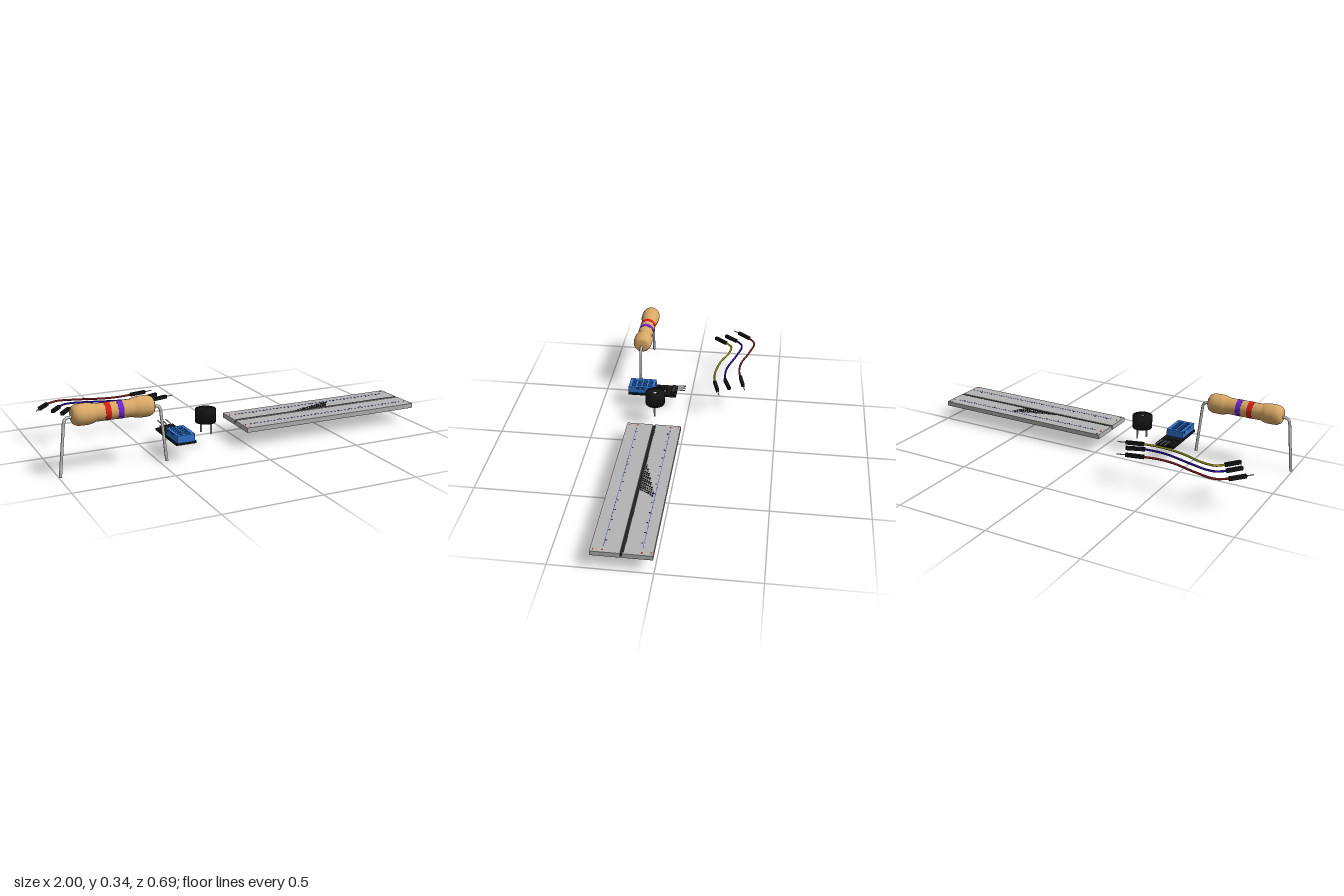
import * as THREE from 'three';

const mats = {};
const mat = (c) => (mats[c] ??= new THREE.MeshStandardMaterial({ color: c, side: THREE.DoubleSide }));
const BLACK = 0x141414, GREY = 0xcccccc, BOARD = 0xb4b4b4, BLUE = 0x2f74d0, NAVY = 0x173a70;

function add(parent, name, geo, color, x = 0, y = 0, z = 0) {
  const m = new THREE.Mesh(geo, mat(color));
  m.name = name;
  m.position.set(x, y, z);
  parent.add(m);
  return m;
}
const box = (w, h, d) => new THREE.BoxGeometry(w, h, d);
const group = (parent, name) => {
  const g = new THREE.Group();
  g.name = name;
  parent.add(g);
  return g;
};

// Flat plate in the xz plane; its top lies at y = 0 and it reaches down by depth
function plate(w, d, depth, holes) {
  const s = new THREE.Shape();
  s.moveTo(-w / 2, -d / 2).lineTo(w / 2, -d / 2).lineTo(w / 2, d / 2).lineTo(-w / 2, d / 2).closePath();
  s.holes.push(...holes);
  return new THREE.ExtrudeGeometry(s, { depth, bevelEnabled: false, curveSegments: 12 }).rotateX(Math.PI / 2);
}
function rectHole(x, z, w, d) {
  const p = new THREE.Path();
  p.moveTo(x - w / 2, z - d / 2).lineTo(x - w / 2, z + d / 2).lineTo(x + w / 2, z + d / 2).lineTo(x + w / 2, z - d / 2).closePath();
  return p;
}
function roundHole(x, z, r) {
  const p = new THREE.Path();
  p.absarc(x, z, r, 0, Math.PI * 2, true);
  return p;
}

function buildResistor(root) {
  const g = group(root, 'resistor');
  g.position.set(-0.727, 0.292, 0.293);
  // Half profile of the body: swollen end, slimmer waist, mirrored
  const half = [[0, 0.201], [0.03, 0.201], [0.042, 0.194], [0.05, 0.178], [0.052, 0.16], [0.052, 0.125], [0.049, 0.108], [0.043, 0.09]];
  const profile = [...half.map(([r, t]) => [r, -t]), ...half.slice().reverse()].map(([r, t]) => new THREE.Vector2(r, t));
  add(g, 'resistorBody', new THREE.LatheGeometry(profile, 32).rotateZ(-Math.PI / 2), 0xd9a866);
  for (const [x, c] of [[-0.033, 0xdd1c14], [0.029, 0x6a24d0]])
    add(g, 'colourBand', new THREE.CylinderGeometry(0.0438, 0.0438, 0.027, 32).rotateZ(Math.PI / 2), c, x);
  // Bent wire legs
  for (const s of [-1, 1]) {
    const v = (x, y) => new THREE.Vector3(s * x, y, 0);
    const path = new THREE.CurvePath();
    path.add(new THREE.LineCurve3(v(0.19, -0.007), v(0.215, -0.007)));
    path.add(new THREE.QuadraticBezierCurve3(v(0.215, -0.007), v(0.235, -0.008), v(0.239, -0.036)));
    path.add(new THREE.LineCurve3(v(0.239, -0.036), v(0.265, -0.284)));
    add(g, 'resistorLeg', new THREE.TubeGeometry(path, 60, 0.0075, 12), GREY);
    const end = add(g, 'legTip', new THREE.CylinderGeometry(0.0075, 0.0075, 0.012, 12), GREY, s * 0.2655, -0.286, 0);
    end.rotation.z = s * 0.1;
  }
}

function buildSensor(root) {
  const g = group(root, 'sensorModule');
  g.position.set(-0.377, 0, 0);
  // Circuit board with mounting hole
  add(g, 'circuitBoard', plate(0.106, 0.272, 0.012, [roundHole(0, -0.067, 0.013)]), BLACK, 0, 0.097, 0.206);
  // Sensor housing with a lattice of openings
  const slots = [];
  for (const x of [-0.018, 0.018])
    for (let i = 0; i < 4; i++) slots.push(rectHole(x, -0.046 + i * 0.031, 0.026, 0.019));
  add(g, 'housingBase', box(0.094, 0.016, 0.148), BLUE, 0, 0.105, 0.267);
  add(g, 'housingFloor', box(0.078, 0.002, 0.13), NAVY, 0, 0.114, 0.267);
  add(g, 'housingTop', plate(0.094, 0.148, 0.021, slots), BLUE, 0, 0.134, 0.267);
  for (const s of [-1, 1])
    for (const z of [0.287, 0.259, 0.219]) add(g, 'sideVent', box(0.002, 0.015, 0.016), NAVY, s * 0.0468, 0.1265, z);
  // Small chips beside the hole
  for (const x of [-0.034, 0.034]) add(g, 'chip', box(0.016, 0.006, 0.026), 0x2a2a2a, x, 0.1, 0.16);
  // Header and three bent pins
  add(g, 'pinHeader', box(0.074, 0.014, 0.017), 0x222222, 0, 0.104, 0.09);
  for (const x of [-0.022, 0, 0.022]) {
    const curve = new THREE.CatmullRomCurve3([[0.092, 0.1], [0.089, 0.113], [0.075, 0.116], [0.02, 0.118]].map(([z, y]) => new THREE.Vector3(x, y, z)));
    add(g, 'headerPin', new THREE.TubeGeometry(curve, 16, 0.0032, 6), GREY);
  }
}

function buildBuzzer(root) {
  const g = group(root, 'buzzer');
  g.position.set(-0.196, 0, 0.168);
  const profile = [[0, 0.127], [0.053, 0.127], [0.053, 0.196], [0.012, 0.196], [0.012, 0.185]].map(([r, y]) => new THREE.Vector2(r, y));
  add(g, 'buzzerCase', new THREE.LatheGeometry(profile, 40), BLACK);
  add(g, 'soundHole', new THREE.CylinderGeometry(0.012, 0.012, 0.004, 20), GREY, 0, 0.187);
  for (const [x, bottom] of [[-0.026, 0.076], [0.029, 0.056]])
    add(g, 'buzzerPin', new THREE.CylinderGeometry(0.005, 0.005, 0.13 - bottom, 12), GREY, x, (0.13 + bottom) / 2);
}

function buildBreadboard(root) {
  const g = group(root, 'breadboard');
  g.position.set(0.489, 0, 0);
  // Two halves joined by a low dark bridge in the central channel
  for (const [z, d] of [[0.0735, 0.141], [0.224, 0.14]]) add(g, 'boardHalf', box(1.018, 0.025, d), BOARD, 0, 0.0915, z);
  add(g, 'channelFloor', box(1.016, 0.01, 0.014), 0x222222, 0, 0.092, 0.149);
  add(g, 'channelBase', box(1.016, 0.008, 0.014), BOARD, 0, 0.083, 0.149);
  add(g, 'channelEdge', box(1.0, 0.001, 0.007), 0x333333, 0, 0.1042, 0.14);
  // Slanted cluster of contact holes
  for (let r = 0; r < 7; r++) {
    const z = 0.132 - r * 0.0105;
    const from = 0.34 + r * 0.035, to = 0.545 + r * 0.007;
    for (let x = from; x <= to; x += 0.014) add(g, 'contactHole', box(0.009, 0.001, 0.008), 0x111111, x - 0.489, 0.1043, z);
  }
  // Power rail lines, marks and corner signs
  for (const z of [0.055, 0.237]) {
    add(g, 'railLine', box(0.93, 0.001, 0.0025), 0x5560c8, 0, 0.1042, z);
    for (let i = 0; i < 13; i++) add(g, 'railMark', box(0.006, 0.001, 0.007), 0x222222, -0.43 + i * 0.0715, 0.1044, z + (z > 0.1 ? -0.008 : 0.008));
    for (const s of [-1, 1]) {
      add(g, 'cornerMark', box(0.012, 0.001, 0.005), 0xd03030, s * 0.492, 0.1043, z < 0.1 ? 0.014 : 0.28);
      add(g, 'cornerDot', box(0.008, 0.001, 0.008), 0xd03030, s * 0.492, 0.1043, z);
    }
  }
}

// Straight bar between two xz points at wire height
const Y = 0.181;
function bar(g, name, a, b, size, color) {
  const dx = b[0] - a[0], dz = b[1] - a[1];
  const m = add(g, name, box(Math.hypot(dx, dz), size, size), color, (a[0] + b[0]) / 2, Y, (a[1] + b[1]) / 2);
  m.rotation.y = -Math.atan2(dz, dx);
}

// Each path runs plug end, plug start, wire points, plug start, plug end
function buildJumper(root, name, color, pts, pins) {
  const g = group(root, name);
  const n = pts.length;
  const curve = new THREE.CatmullRomCurve3(pts.slice(1, n - 1).map(([x, z]) => new THREE.Vector3(x, Y, z)));
  add(g, 'wire', new THREE.TubeGeometry(curve, 48, 0.0055, 10), color);
  bar(g, 'plug', pts[0], pts[1], 0.017, BLACK);
  bar(g, 'plug', pts[n - 2], pts[n - 1], 0.017, BLACK);
  if (pins[0]) bar(g, 'plugPin', pts[0], pins[0], 0.004, GREY);
  if (pins[1]) bar(g, 'plugPin', pts[n - 1], pins[1], 0.004, GREY);
}

export function createModel() {
  const root = new THREE.Group();
  root.name = 'electronicsKit';
  buildResistor(root);
  buildSensor(root);
  buildBuzzer(root);
  buildBreadboard(root);
  buildJumper(root, 'redJumper', 0x8e1c1c,
    [[-0.944, -0.241], [-0.885, -0.31], [-0.826, -0.342], [-0.719, -0.321], [-0.586, -0.28], [-0.5, -0.275], [-0.436, -0.286], [-0.345, -0.307]],
    [[-0.968, -0.21], [-0.302, -0.319]]);
  buildJumper(root, 'blueJumper', 0x2a0c9c,
    [[-0.896, -0.166], [-0.842, -0.235], [-0.805, -0.265], [-0.762, -0.27], [-0.666, -0.246], [-0.505, -0.2], [-0.398, -0.2], [-0.307, -0.233]], []);
  buildJumper(root, 'yellowJumper', 0x9a9a14,
    [[-0.864, -0.107], [-0.81, -0.176], [-0.773, -0.207], [-0.703, -0.203], [-0.586, -0.16], [-0.452, -0.139], [-0.366, -0.146], [-0.275, -0.171]],
    [null, [-0.233, -0.182]]);
  return root;
}
